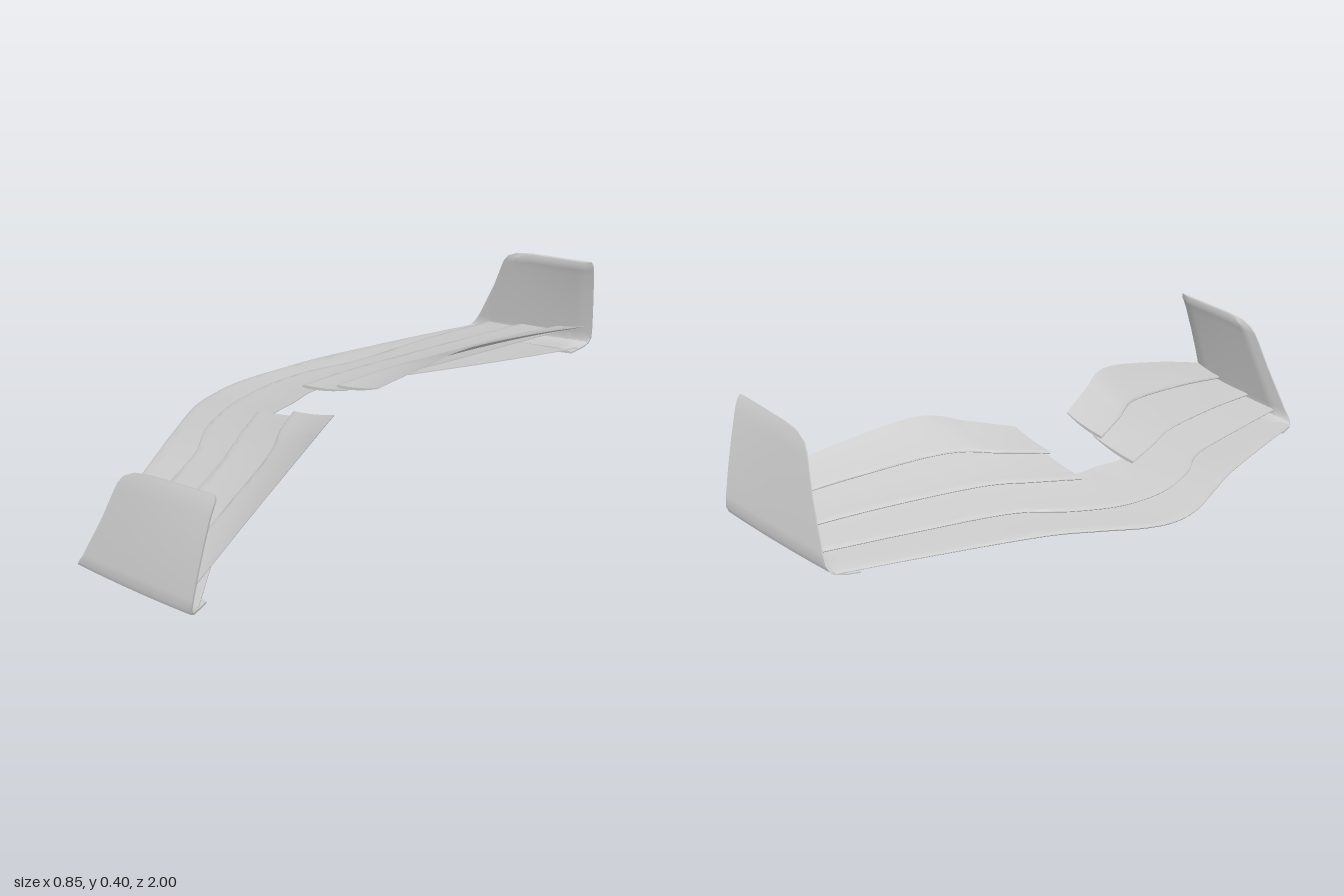
import * as THREE from 'three';
import { toCreasedNormals } from 'three/addons/utils/BufferGeometryUtils.js';

const lerp = THREE.MathUtils.lerp;

// Skins a list of closed cross-sections (one face, then the other reversed) and caps both ends.
function loft(sections) {
  const n = sections[0].length, m = sections.length, index = [];
  const quad = (a, b, c, d) => index.push(a, b, c, a, c, d);
  for (let i = 0; i < m - 1; i++)
    for (let j = 0; j < n; j++) {
      const k = (j + 1) % n;
      quad(i * n + j, i * n + k, (i + 1) * n + k, (i + 1) * n + j);
    }
  const last = (m - 1) * n;
  for (let j = 0; j < n / 2 - 1; j++) {
    quad(j, n - 1 - j, n - 2 - j, j + 1);
    quad(last + j, last + j + 1, last + n - 2 - j, last + n - 1 - j);
  }
  // turn the faces outwards whichever way the sections run
  const p = sections.flat();
  let volume = 0;
  for (let i = 0; i < index.length; i += 3)
    volume += p[index[i]].dot(p[index[i + 1]].clone().cross(p[index[i + 2]]));
  if (volume < 0) index.reverse();
  const g = new THREE.BufferGeometry().setFromPoints(p);
  g.setIndex(index);
  return toCreasedNormals(g, 0.7);
}

// Edge curve through stations [z, x, y]; side 0 spans both halves.
function edge(stations, side) {
  const half = (s) => stations.map(([z, x, y]) => new THREE.Vector3(x, y, z * s));
  const pts = side ? half(side) : [...half(-1).reverse(), ...half(1).slice(1)];
  return new THREE.CatmullRomCurve3(pts, false, 'catmullrom', 0.5);
}

// Chord fraction and relative half thickness of an aerofoil
const foil = [[0, 0.15], [0.012, 0.6], [0.04, 0.9], [0.12, 1], [0.25, 1], [0.4, 0.95],
  [0.55, 0.85], [0.7, 0.7], [0.85, 0.5], [1, 0.3]];

function blade({ z, lead, trail, thick, sag }, side) {
  const stations = (e) => z.map((v, i) => [v, e.x[i], e.y[i]]);
  const a = edge(stations(lead), side), b = edge(stations(trail), side);
  const steps = side ? 36 : 72, sections = [];
  for (let i = 0; i <= steps; i++) {
    const p = a.getPoint(i / steps), q = b.getPoint(i / steps);
    const at = (s, t) => {
      const v = p.clone().lerp(q, s);
      v.y += t * thick - sag * p.distanceTo(q) * 4 * s * (1 - s);
      return v;
    };
    sections.push([...foil.map(([s, t]) => at(s, t)),
      ...foil.map(([s, t]) => at(s, -t)).reverse()]);
  }
  return loft(sections);
}

const fullZ = [0, 0.11, 0.25, 0.4, 0.7, 0.95];
const halfZ = [0.108, 0.25, 0.4, 0.7, 0.965];
const blades = {
  mainPlane: {
    z: fullZ, thick: 0.006, sag: 0.015,
    lead: { x: [-0.428, -0.412, -0.353, -0.288, -0.168, -0.068], y: [0.013, 0.018, 0.028, 0.034, 0.024, 0.011] },
    trail: { x: [-0.2, -0.18, -0.1, 0.02, 0.22, 0.38], y: [0.05, 0.052, 0.06, 0.063, 0.062, 0.064] },
  },
  secondPlane: {
    z: fullZ, thick: 0.005, sag: 0.02,
    lead: { x: [-0.297, -0.287, -0.238, -0.15, -0.065, 0.01], y: [0.046, 0.048, 0.056, 0.064, 0.06, 0.05] },
    trail: { x: [-0.09, -0.09, -0.02, 0.05, 0.14, 0.21], y: [0.095, 0.095, 0.102, 0.106, 0.1, 0.085] },
  },
  lowerFlap: {
    z: halfZ, thick: 0.005, sag: 0.03,
    lead: { x: [-0.14, -0.085, -0.02, 0.07, 0.14], y: [0.095, 0.106, 0.112, 0.097, 0.075] },
    trail: { x: [0.04, 0.11, 0.19, 0.265, 0.315], y: [0.14, 0.158, 0.165, 0.14, 0.107] },
  },
  upperFlap: {
    z: halfZ, thick: 0.005, sag: 0.04,
    lead: { x: [0, 0.065, 0.145, 0.22, 0.28], y: [0.142, 0.16, 0.172, 0.145, 0.108] },
    trail: { x: [0.16, 0.225, 0.29, 0.345, 0.385], y: [0.187, 0.222, 0.252, 0.203, 0.142] },
  },
};

// Endplate rows from the foot up: front x, rear x, height fraction, lean, inset of the curled foot
const rows = [
  [-0.09, 0.375, 0, 0, 0.085], [-0.078, 0.382, 0, 0, 0.05], [-0.068, 0.39, 0.012, 0, 0.022],
  [-0.058, 0.396, 0.04, 0, 0.006], [-0.048, 0.4, 0.09, 0, 0], [-0.03, 0.403, 0.18, 0.06, 0],
  [0.002, 0.408, 0.38, 0.23, 0], [0.038, 0.414, 0.6, 0.45, 0], [0.072, 0.421, 0.84, 0.72, 0],
  [0.083, 0.424, 0.91, 0.82, 0], [0.1, 0.425, 0.965, 0.92, 0], [0.135, 0.421, 1, 1, 0],
];
const clampMap = THREE.MathUtils.mapLinear;

function endplate(side) {
  const steps = 24, sections = [];
  for (let i = 0; i <= steps; i++) {
    const u = i / steps;
    const outer = rows.map(([front, rear, h, lean, inset]) => {
      const x = lerp(front, rear, u);
      const s = Math.max(0, clampMap(x, -0.1, 0.4, 0, 1));
      const bottom = 0.002 + 0.03 * s + 0.028 * s * s;
      const top = x < 0.2 ? 0.375 - 0.2 * (0.2 - x) - 0.4 * (0.2 - x) ** 2 : 0.375 + 0.135 * (x - 0.2);
      const z = lerp(lerp(0.968, 1, u), 0.916, lean) - inset;
      return new THREE.Vector3(x, lerp(bottom, top, h), z);
    });
    // inner skin, thinned towards the front, rear and top edges
    const thin = Math.min(1, 0.25 + 6 * u, 0.4 + 6 * (1 - u));
    const inner = outer.map((p, j) => {
      const a = outer[Math.max(j - 1, 0)], b = outer[Math.min(j + 1, outer.length - 1)];
      const dz = b.z - a.z, dy = b.y - a.y, len = Math.hypot(dz, dy);
      const t = 0.016 * thin * (j === outer.length - 1 ? 0.4 : 1);
      return new THREE.Vector3(p.x, p.y + (dz / len) * t, p.z - (dy / len) * t);
    });
    const loop = [...outer, ...inner.reverse()];
    loop.forEach((p) => { p.z *= side; });
    sections.push(loop);
  }
  return loft(sections);
}

export function createModel() {
  const group = new THREE.Group();
  const material = new THREE.MeshStandardMaterial({ color: 0xcccccc, side: THREE.DoubleSide });
  const add = (name, geometry) => {
    const mesh = new THREE.Mesh(geometry, material);
    mesh.name = name;
    group.add(mesh);
  };

  // planes running across the whole span
  add('mainPlane', blade(blades.mainPlane, 0));
  add('secondPlane', blade(blades.secondPlane, 0));

  // mirrored flaps and endplates
  for (const [label, side] of [['Front', 1], ['Back', -1]]) {
    add('lowerFlap' + label, blade(blades.lowerFlap, side));
    add('upperFlap' + label, blade(blades.upperFlap, side));
    add('endplate' + label, endplate(side));
  }
  return group;
}
